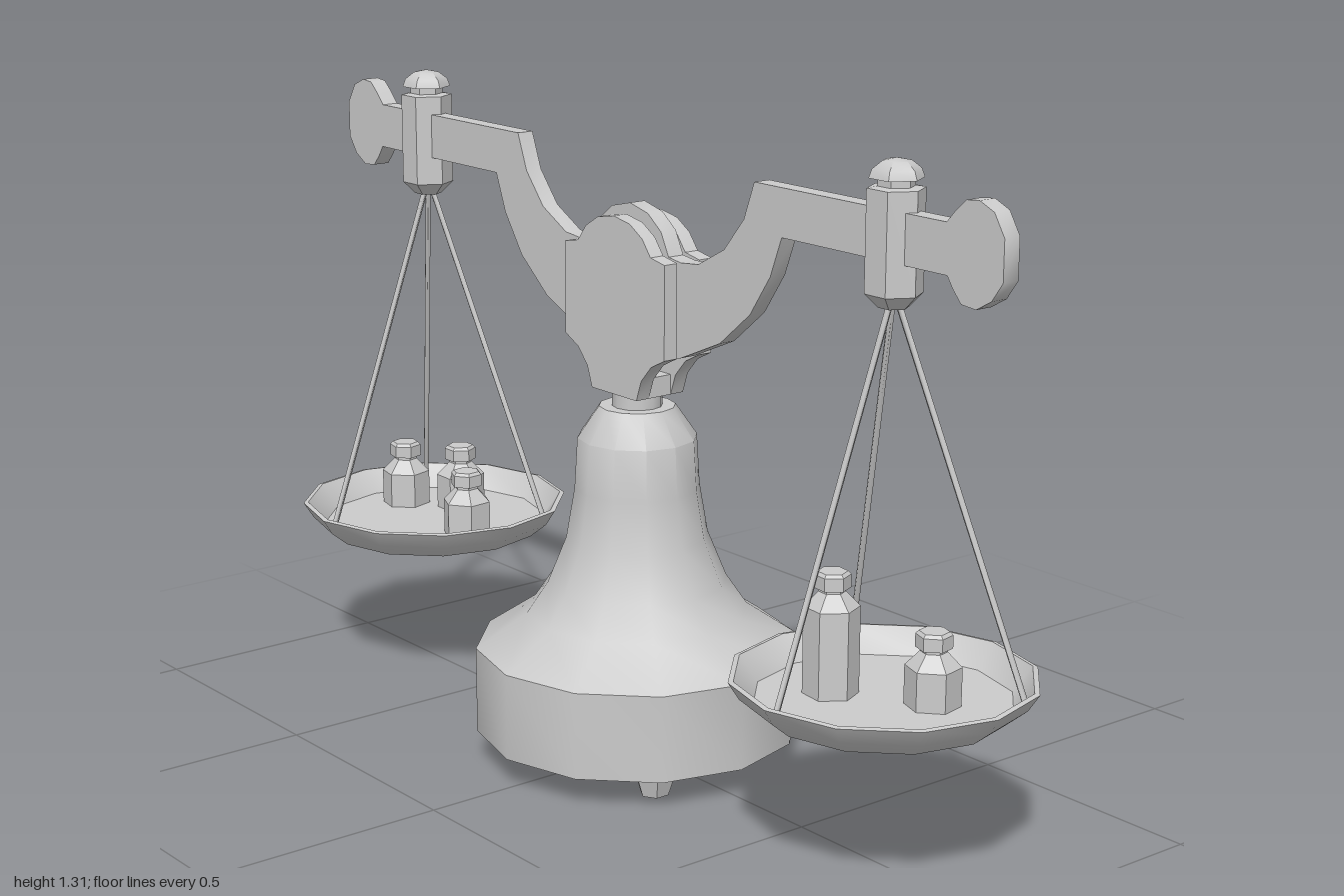
import * as THREE from 'three';
import { toCreasedNormals } from 'three/addons/utils/BufferGeometryUtils.js';

const material = new THREE.MeshStandardMaterial({ color: 0xcccccc });

function addMesh(parent, name, geometry, crease = 0.65) {
  const mesh = new THREE.Mesh(toCreasedNormals(geometry, crease), material);
  mesh.name = name;
  parent.add(mesh);
  return mesh;
}

// Turned part from [radius, height] pairs, bottom to top
function turned(profile, sides) {
  return new THREE.LatheGeometry(profile.map(([r, y]) => new THREE.Vector2(r, y)), sides);
}

// Flat part, symmetric about x = 0, extruded from z0 to z1
function symmetricPlate(half, z0, z1) {
  const mirrored = half.filter(([x]) => x > 0).reverse().map(([x, y]) => [-x, y]);
  const shape = new THREE.Shape([...half, ...mirrored].map(([x, y]) => new THREE.Vector2(x, y)));
  return new THREE.ExtrudeGeometry(shape, { depth: z1 - z0, bevelEnabled: false }).translate(0, 0, z0);
}

// Straight thin rod between two points
function rod(a, b, radius) {
  return new THREE.TubeGeometry(new THREE.LineCurve3(a, b), 1, radius, 6);
}

function createWeight(name, shoulder) {
  const s = shoulder;
  const geometry = turned([
    [0, 0], [0.052, 0], [0.052, s], [0.025, s + 0.028], [0.025, s + 0.035],
    [0.034, s + 0.035], [0.034, s + 0.06], [0.028, s + 0.066], [0, s + 0.066],
  ], 6);
  const holder = new THREE.Group();
  addMesh(holder, name, geometry);
  return holder.children[0];
}

// Hanger, three wires and pan, centred on its own x axis
function createPanAssembly() {
  const group = new THREE.Group();

  const hanger = addMesh(group, 'hanger', turned([
    [0, 1.045], [0.028, 1.045], [0.053, 1.07], [0.053, 1.255], [0.034, 1.258],
    [0.034, 1.272], [0.05, 1.272], [0.044, 1.288], [0.026, 1.302], [0, 1.307],
  ], 6));
  hanger.rotation.y = Math.PI / 6;

  for (let i = 0; i < 3; i++) {
    const a = (i * 2 * Math.PI) / 3;
    addMesh(group, 'wire', rod(
      new THREE.Vector3(0.006 * Math.sin(a), 1.06, 0.006 * Math.cos(a)),
      new THREE.Vector3(0.258 * Math.sin(a), 0.355, 0.258 * Math.cos(a)), 0.006), 1.2);
  }

  addMesh(group, 'pan', turned([
    [0, 0.305], [0.228, 0.305], [0.265, 0.335], [0.286, 0.368],
    [0.276, 0.37], [0.24, 0.322], [0, 0.322],
  ], 12));
  return group;
}

export function createModel() {
  const model = new THREE.Group();
  model.name = 'balanceScale';

  // Bell-shaped base and neck
  addMesh(model, 'base', turned([
    [0, 0.06], [0.325, 0.06], [0.325, 0.235], [0.222, 0.305], [0.18, 0.367],
    [0.142, 0.46], [0.125, 0.56], [0.119, 0.662], [0.076, 0.725], [0, 0.725],
  ], 12));
  addMesh(model, 'neck', new THREE.CylinderGeometry(0.05, 0.05, 0.06, 12).translate(0, 0.74, 0));

  // Three tapered feet
  for (let i = 0; i < 3; i++) {
    const a = Math.PI + (i * 2 * Math.PI) / 3;
    const foot = addMesh(model, 'foot', new THREE.CylinderGeometry(0.049, 0.029, 0.062, 6));
    foot.position.set(0.228 * Math.sin(a), 0.031, 0.228 * Math.cos(a));
  }

  // Fork that carries the beam: two plates, a joining block and a pin
  const plateHalf = [
    [0, 1.107], [0.05, 1.098], [0.088, 1.075], [0.113, 1.043], [0.155, 1.035],
    [0.155, 0.85], [0.115, 0.83], [0.085, 0.797], [0.07, 0.755], [0, 0.755],
  ];
  const fork = new THREE.Group();
  fork.name = 'fork';
  model.add(fork);
  addMesh(fork, 'frontPlate', symmetricPlate(plateHalf, 0.027, 0.058));
  addMesh(fork, 'backPlate', symmetricPlate(plateHalf, -0.058, -0.027));
  addMesh(fork, 'joiningBlock', new THREE.BoxGeometry(0.14, 0.04, 0.06).translate(0, 0.775, 0));
  addMesh(fork, 'pivotPin', new THREE.CylinderGeometry(0.03, 0.03, 0.06, 8).rotateX(Math.PI / 2).translate(0, 0.97, 0));

  // Beam with a central hump, dropped arms and rounded ends
  addMesh(model, 'beam', symmetricPlate([
    [0, 1.128], [0.055, 1.115], [0.095, 1.085], [0.118, 1.04], [0.155, 1.035], [0.205, 1.04],
    [0.28, 1.08], [0.335, 1.145], [0.363, 1.218], [0.855, 1.218], [0.875, 1.24], [0.9, 1.262],
    [0.93, 1.265], [0.965, 1.25], [0.99, 1.21], [0.99, 1.135], [0.965, 1.1], [0.93, 1.08],
    [0.895, 1.083], [0.875, 1.105], [0.86, 1.127], [0.44, 1.127], [0.41, 1.05], [0.355, 0.97],
    [0.27, 0.9], [0.155, 0.85], [0.08, 0.828], [0, 0.822],
  ], -0.018, 0.018));

  // Hanging pans on both sides
  for (const side of [-1, 1]) {
    const pan = createPanAssembly();
    pan.name = side > 0 ? 'leftPanAssembly' : 'rightPanAssembly';
    pan.position.x = side * 0.714;
    model.add(pan);
  }

  // Weights: x, z, shoulder height, turn
  const weights = [
    [-0.856, -0.02, 0.075, 0.3], [-0.755, -0.098, 0.075, 0.5], [-0.577, 0.01, 0.075, 0.1],
    [0.63, 0.053, 0.167, 0.4], [0.79, -0.048, 0.075, 0.2],
  ];
  for (const [x, z, shoulder, turn] of weights) {
    const weight = createWeight(shoulder > 0.1 ? 'tallWeight' : 'smallWeight', shoulder);
    weight.position.set(x, 0.321, z);
    weight.rotation.y = turn;
    model.add(weight);
  }
  return model;
}
